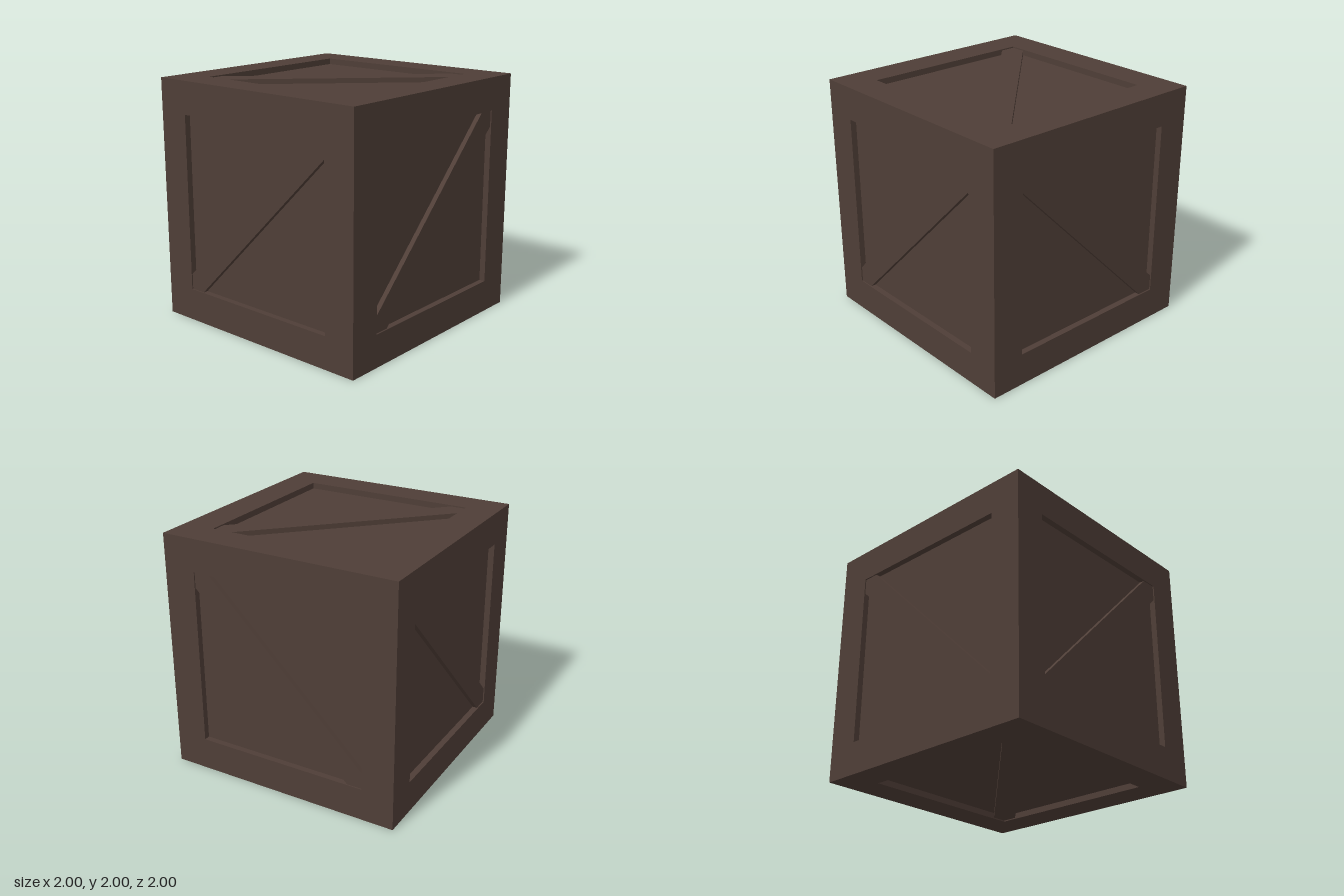
import * as THREE from 'three';

const HALF = 1, INNER = 0.73, DEPTH = 0.05, BRACE_H = 0.04, CUT = 0.6;

const polygon = (pts) => new THREE.Shape(pts.map(([x, y]) => new THREE.Vector2(x, y)));
const square = (r) => polygon([[-r, -r], [r, -r], [r, r], [-r, r]]);

// Square border whose outer edge is mitred to meet the neighbouring borders
function frameGeometry() {
  const shape = square(HALF);
  shape.holes.push(square(INNER));
  const geo = new THREE.ExtrudeGeometry(shape, { depth: DEPTH, bevelEnabled: false });
  const p = geo.attributes.position;
  for (let i = 0; i < p.count; i++) {
    if (p.getZ(i) < DEPTH / 2 && Math.abs(p.getX(i)) > 0.9) {
      const s = (HALF - DEPTH) / HALF;
      p.setXY(i, p.getX(i) * s, p.getY(i) * s);
    }
  }
  geo.computeVertexNormals();
  return geo;
}

// Diagonal plank with pointed ends fitting the corners of the recess
function braceGeometry() {
  const a = INNER, c = CUT;
  const shape = polygon([[-a, -a], [-c, -a], [a, c], [a, a], [c, a], [-a, -c]]);
  return new THREE.ExtrudeGeometry(shape, { depth: BRACE_H, bevelEnabled: false });
}

export function createModel() {
  const crate = new THREE.Group();
  crate.name = 'crate';
  const wood = new THREE.MeshStandardMaterial({ color: 0x4f3e37 });
  wood.name = 'dark brown wood';

  // Recessed panels
  const coreSize = 2 * (HALF - DEPTH);
  const core = new THREE.Mesh(new THREE.BoxGeometry(coreSize, coreSize, coreSize), wood);
  core.name = 'panels';
  core.position.y = HALF;
  crate.add(core);

  // Frame and brace on each side; opposite braces run parallel
  const frameGeo = frameGeometry();
  const braceGeo = braceGeometry();
  const q = Math.PI / 2;
  const sides = [
    ['front', 0, 0, false], ['right', 0, q, false], ['top', -q, 0, false],
    ['back', 0, 2 * q, true], ['left', 0, -q, true], ['bottom', q, 0, true],
  ];
  for (const [name, rx, ry, flip] of sides) {
    const side = new THREE.Group();
    side.name = name + 'Side';
    side.position.y = HALF;
    side.rotation.set(rx, ry, 0);

    const frame = new THREE.Mesh(frameGeo, wood);
    frame.name = name + 'Frame';
    const brace = new THREE.Mesh(braceGeo, wood);
    brace.name = name + 'Brace';
    if (flip) brace.rotation.z = q;
    frame.position.z = brace.position.z = HALF - DEPTH;

    side.add(frame, brace);
    crate.add(side);
  }
  return crate;
}
